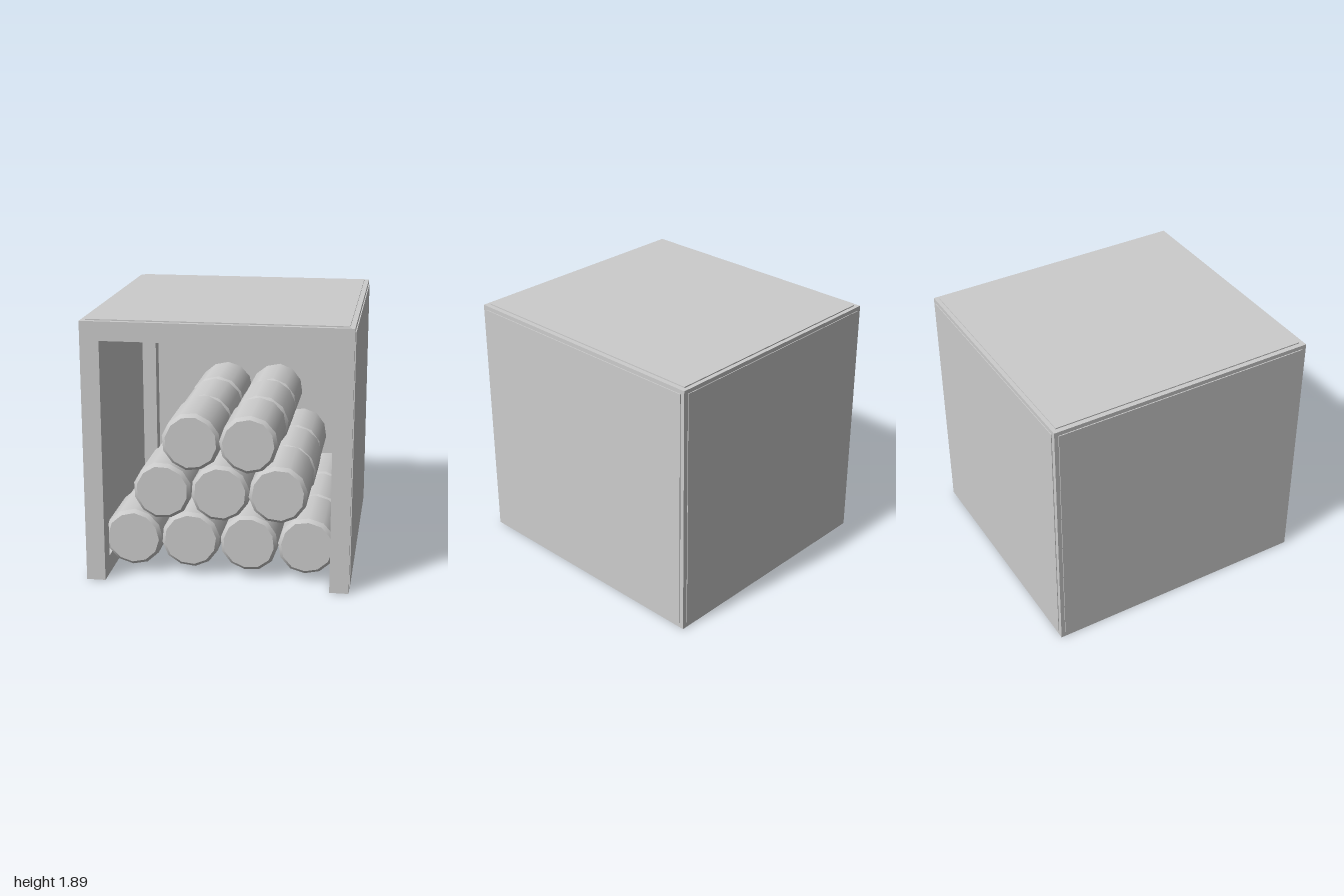
import * as THREE from 'three';

export function createModel() {
  const model = new THREE.Group();
  model.name = 'logShelter';
  const grey = new THREE.MeshStandardMaterial({ color: 0xcccccc });
  grey.name = 'plain grey';

  // Box given by its limits on each axis
  function box(name, x0, x1, y0, y1, z0, z1, parent) {
    const mesh = new THREE.Mesh(new THREE.BoxGeometry(x1 - x0, y1 - y0, z1 - z0), grey);
    mesh.position.set((x0 + x1) / 2, (y0 + y1) / 2, (z0 + z1) / 2);
    mesh.name = name;
    parent.add(mesh);
  }

  const X = 0.935, H = 1.88, B = -0.995, F = 1, T = 0.135;

  // Frame of square beams, without a sill at the front
  const frame = new THREE.Group();
  frame.name = 'frame';
  model.add(frame);
  for (const s of [-1, 1]) {
    const x0 = s < 0 ? -X : X - T, x1 = x0 + T;
    box('frontPost', x0, x1, 0, H, F - T, F, frame);
    box('backPost', x0, x1, 0, H, B, B + T, frame);
    box('sideSill', x0, x1, 0, T, B + T, F - T, frame);
    box('sideTopBeam', x0, x1, H - T, H, B + T, F - T, frame);
  }
  box('frontTopBeam', T - X, X - T, H - T, H, F - T, F, frame);
  box('backTopBeam', T - X, X - T, H - T, H, B, B + T, frame);
  box('backSill', T - X, X - T, 0, T, B, B + T, frame);

  // Panels stand slightly proud of the frame
  const P = 0.03;
  box('leftPanel', 0.942 - P, 0.942, 0.04, 1.85, -0.965, 0.965, model);
  box('rightPanel', -0.942, P - 0.942, 0.04, 1.85, -0.965, 0.965, model);
  box('roofPanel', -0.9, 0.9, 1.888 - P, 1.888, -0.965, 0.965, model);
  box('backPanel', -0.9, 0.9, 0.04, 1.85, -1, P - 1, model);

  // Small seeded random source for uneven logs
  let seed = 17;
  const jitter = (a) => {
    seed = (seed * 16807) % 2147483647;
    return (seed / 2147483647 - 0.5) * 2 * a;
  };

  // Log with bevelled ends, slightly uneven around its rim
  const R = 0.21, L = 0.555, SIDES = 12;
  function log() {
    const e = L / 2, b = 0.025;
    const profile = [
      [0, -e], [R - b, -e], [R - b, -e], [R, -e + b], [R, -e + b],
      [R, e - b], [R, e - b], [R - b, e], [R - b, e], [0, e],
    ].map(([r, y]) => new THREE.Vector2(r, y));
    const g = new THREE.LatheGeometry(profile, SIDES);
    const rim = Array.from({ length: SIDES }, () => 1 + jitter(0.018));
    const p = g.attributes.position;
    for (let i = 0; i < p.count; i++) {
      const k = rim[Math.floor(i / profile.length) % SIDES];
      p.setXYZ(i, p.getX(i) * k, p.getY(i), p.getZ(i) * k);
    }
    g.rotateX(Math.PI / 2);
    const mesh = new THREE.Mesh(g, grey);
    mesh.name = 'log';
    return mesh;
  }

  // Pyramid stack: rows of 4, 3 and 2, three logs deep
  const stack = new THREE.Group();
  stack.name = 'logStack';
  model.add(stack);
  [4, 3, 2].forEach((count, row) => {
    for (let i = 0; i < count; i++) {
      for (let d = -1; d <= 1; d++) {
        const m = log();
        const shift = d < 1 ? 0.007 : 0;
        m.position.set((i - (count - 1) / 2) * 0.417 + shift + jitter(0.006),
          0.267 + row * 0.367 - shift + jitter(0.005), d * L);
        m.rotation.z = jitter(Math.PI);
        stack.add(m);
      }
    }
  });
  return model;
}
